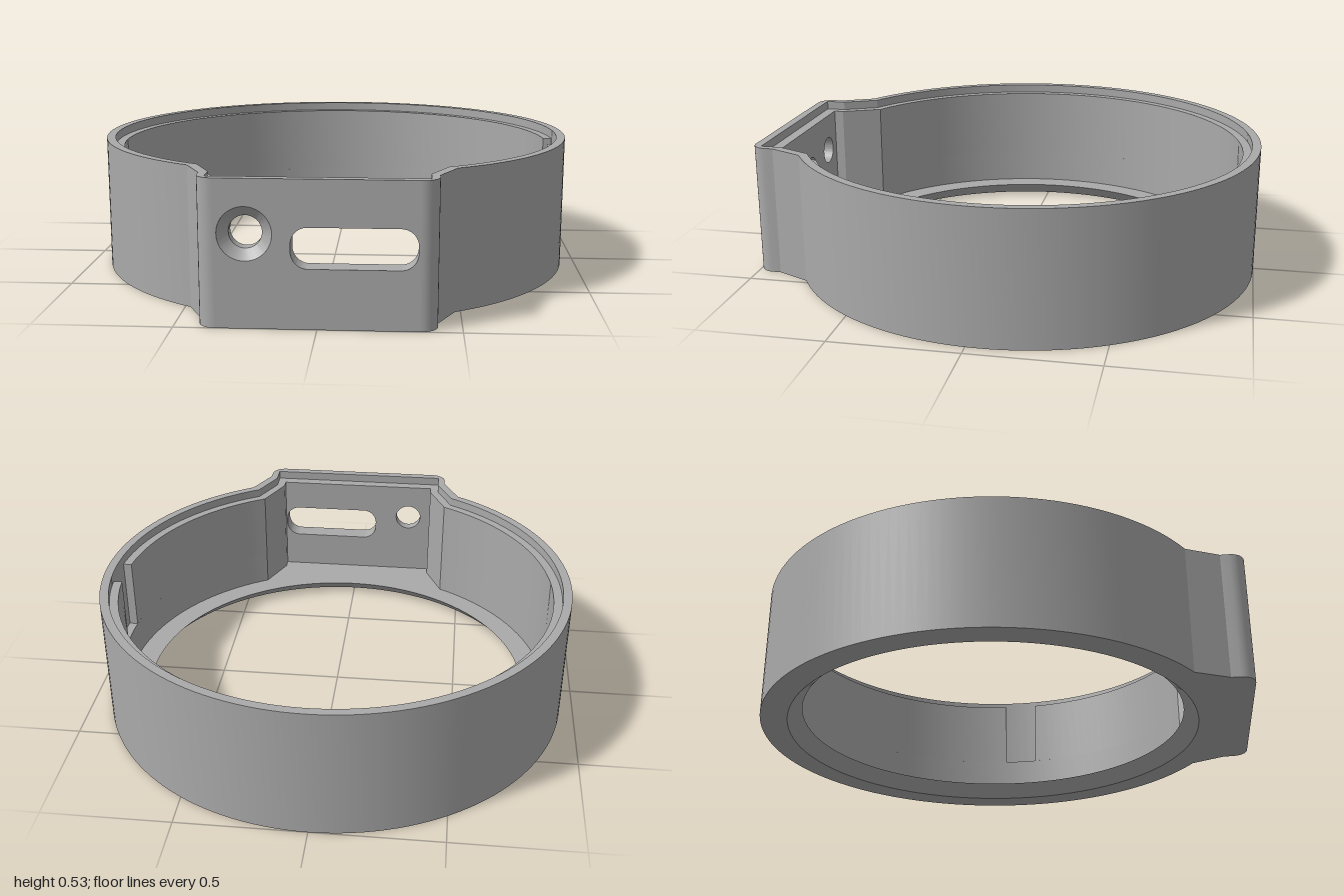
import * as THREE from 'three';
import { toCreasedNormals } from 'three/addons/utils/BufferGeometryUtils.js';

const V = (x, y) => new THREE.Vector2(x, y);
const CZ = -0.05;                 // centre of the round part
const FLOOR = 0.055, LEDGE = 0.492, TOP = 0.527, NOTCH = 0.2;
const PLATE = 0.35;               // half width of the front plate

// Rounded outer corner of the front housing
const corner = [];
for (let i = 0; i <= 8; i++) {
  const a = (i / 8) * Math.PI / 2;
  corner.push(V(0.355 + 0.06 * Math.sin(a), 0.94 + 0.06 * Math.cos(a)));
}

// Three nested outlines: radius plus the right-hand housing points as (x, z)
const INNER = { r: 0.88, x: 0.42, front: [V(PLATE, 0.92), V(0.35, 0.88)] };
const MID = { r: 0.915, x: 0.45, front: [V(PLATE, 0.965), V(0.385, 0.965), V(0.385, 0.885)] };
const OUTER = { r: 0.95, x: 0.48, front: [V(PLATE, 1), ...corner, V(0.415, 0.905)] };

// Outline from the right joint round the back to the left joint;
// a and b optionally limit it to a range of angles
function path(level, a, b) {
  const start = Math.asin(level.x / level.r);
  const from = a ?? start, to = b ?? 2 * Math.PI - start;
  const n = Math.ceil((to - from) / (2 * Math.PI) * 144);
  const pts = a === undefined ? level.front.map(p => p.clone()) : [];
  for (let i = 0; i <= n; i++) {
    const t = from + (to - from) * i / n;
    pts.push(V(level.r * Math.sin(t), CZ + level.r * Math.cos(t)));
  }
  if (b === undefined) pts.push(...level.front.map(p => V(-p.x, p.y)).reverse());
  return pts;
}

const toShape = pts => new THREE.Shape(pts.map(p => V(p.x, -p.y)));

function extrude(shape, depth) {
  return new THREE.ExtrudeGeometry(shape, { depth, bevelEnabled: false, curveSegments: 48 });
}

// Plan shape raised from y0 to y1
function raise(shape, y0, y1) {
  return extrude(shape, y1 - y0).rotateX(-Math.PI / 2).translate(0, y0, 0);
}

// Wall between two outlines
function band(outer, inner, y0, y1, a, b) {
  return raise(toShape([...path(outer, a, b), ...path(inner, a, b).reverse()]), y0, y1);
}

// Solid ring whose hole narrows from rOut at y = 0 to rIn at y = h
function taperRing(rOut, rIn, h, segments) {
  return new THREE.LatheGeometry([V(rOut, 0), V(rOut, h), V(rIn, h), V(rOut, 0)], segments);
}

function circleHole(x, y, r) {
  return new THREE.Path().absarc(x, y, r, 0, Math.PI * 2, true);
}

function slotHole(x0, x1, y0, y1, r) {
  const p = new THREE.Path();
  p.absarc(x0 + r, y0 + r, r, Math.PI, Math.PI * 1.5);
  p.absarc(x1 - r, y0 + r, r, Math.PI * 1.5, Math.PI * 2);
  p.absarc(x1 - r, y1 - r, r, 0, Math.PI / 2);
  p.absarc(x0 + r, y1 - r, r, Math.PI / 2, Math.PI);
  p.closePath();
  return p;
}

// Front plate layer with the screw hole and the slot
function plate(y0, y1, z0, z1, holeRadius) {
  const s = new THREE.Shape([V(-PLATE, y0), V(PLATE, y0), V(PLATE, y1), V(-PLATE, y1)]);
  s.holes.push(circleHole(-0.247, 0.335, holeRadius), slotHole(-0.09, 0.345, 0.215, 0.36, 0.06));
  return extrude(s, z1 - z0).translate(0, 0, z0);
}

export function createModel() {
  const group = new THREE.Group();
  group.name = 'ringHousing';
  const grey = new THREE.MeshStandardMaterial({ color: 0xaaaaaa });
  grey.name = 'grey plastic';

  const add = (name, geometry) => {
    const mesh = new THREE.Mesh(toCreasedNormals(geometry, 0.3), grey);
    mesh.name = name;
    group.add(mesh);
  };

  // Floor with a large opening, chamfered from below
  const floor = toShape(path(MID));
  floor.holes.push(circleHole(0, -CZ, 0.842));
  add('floor', raise(floor, 0, FLOOR));
  add('floorChamfer', taperRing(0.842, 0.785, FLOOR, 96).translate(0, 0, CZ));

  // Outer wall forms the raised lip
  add('outerWall', band(OUTER, MID, 0, TOP));

  // Inner wall forms the ledge, interrupted by a notch on the left
  const n0 = Math.acos(0.075 / 0.88), n1 = Math.acos(-0.07 / 0.88);
  add('innerWallLower', band(MID, INNER, FLOOR, NOTCH));
  add('innerWallFrontOfNotch', band(MID, INNER, NOTCH, LEDGE, undefined, n0));
  add('innerWallBehindNotch', band(MID, INNER, NOTCH, LEDGE, n1, undefined));

  // Two-layer front plate with countersunk screw hole
  add('frontPlateOuter', plate(0, TOP, 0.965, 1, 0.095));
  add('frontPlateInner', plate(FLOOR, LEDGE, 0.92, 0.965, 0.058));
  add('countersink', taperRing(0.095, 0.058, 0.035, 48)
    .rotateX(-Math.PI / 2).translate(-0.247, 0.335, 1));

  return group;
}
